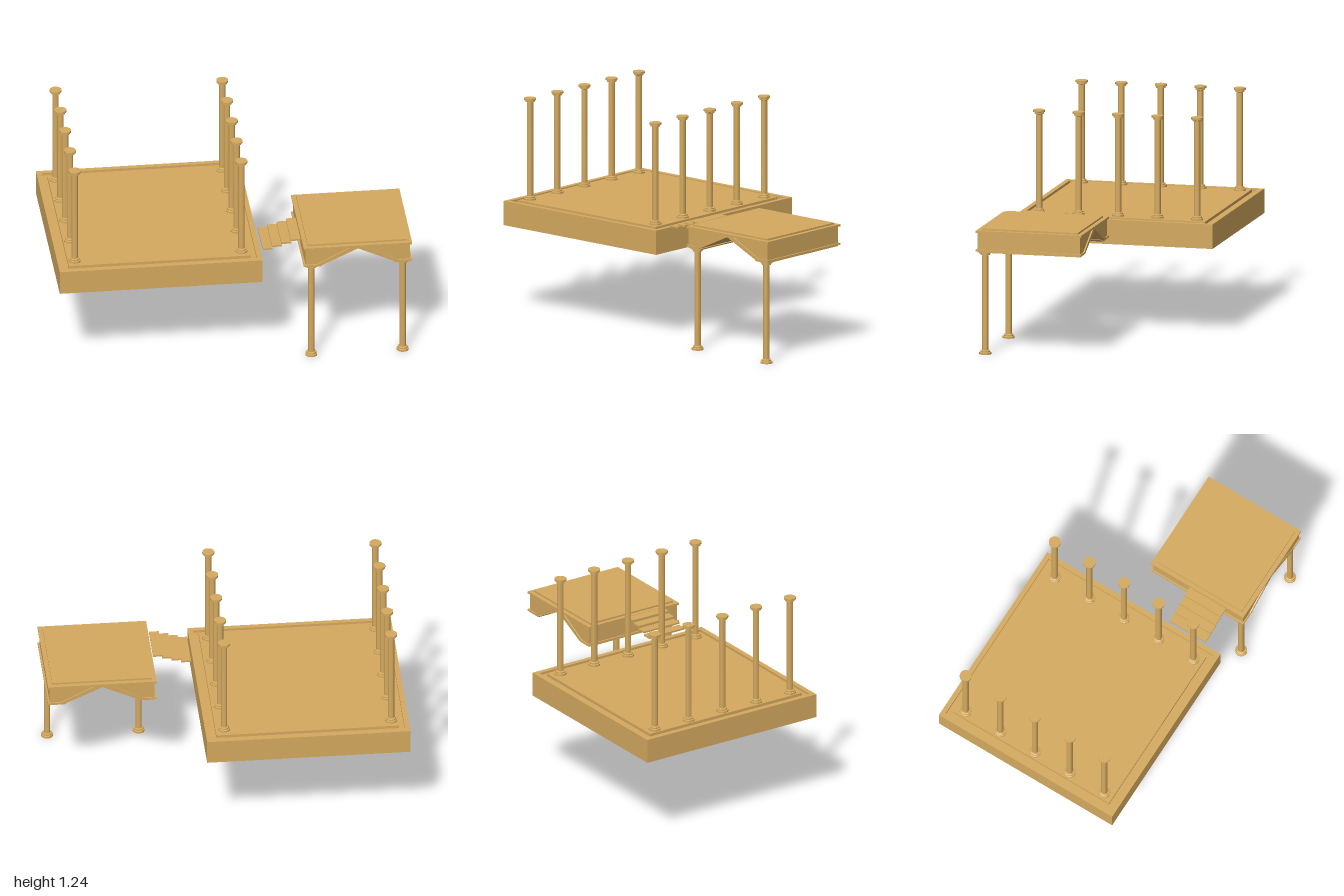
import * as THREE from 'three';
import { toCreasedNormals } from 'three/addons/utils/BufferGeometryUtils.js';

const material = new THREE.MeshStandardMaterial({ color: 0xd4a95f });

function add(parent, name, geometry) {
  const mesh = new THREE.Mesh(geometry, material);
  mesh.name = name;
  parent.add(mesh);
  return mesh;
}

// Box given by its limits on each axis
function slab(parent, name, x0, x1, y0, y1, z0, z1) {
  add(parent, name, new THREE.BoxGeometry(x1 - x0, y1 - y0, z1 - z0))
    .position.set((x0 + x1) / 2, (y0 + y1) / 2, (z0 + z1) / 2);
}

// Outline in x and y, extruded from z0 to z1
function extrudeZ(parent, name, points, z0, z1) {
  const shape = new THREE.Shape(points.map(([x, y]) => new THREE.Vector2(x, y)));
  const geometry = new THREE.ExtrudeGeometry(shape, { depth: z1 - z0, bevelEnabled: false });
  add(parent, name, geometry).position.z = z0;
}

// Round column with the same stepped moulding at foot and head
function columnGeometry(height) {
  const foot = [[0, 0], [0.034, 0], [0.034, 0.011], [0.027, 0.013], [0.027, 0.021], [0.018, 0.024]];
  const head = foot.map(([r, y]) => [r, height - y]).reverse();
  const profile = [...foot, ...head].map(([r, y]) => new THREE.Vector2(r, y));
  return toCreasedNormals(new THREE.LatheGeometry(profile, 24), 0.6);
}

export function createModel() {
  const model = new THREE.Group();
  model.name = 'colonnadeTerrace';

  // Main terrace: base, raised rim, groove and floor panel
  const terrace = new THREE.Group();
  terrace.name = 'terrace';
  model.add(terrace);
  slab(terrace, 'terraceBase', -1, 0.15, 0.51, 0.636, -0.578, 0.573);
  slab(terrace, 'rimLeft', 0.122, 0.15, 0.636, 0.65, -0.578, 0.573);
  slab(terrace, 'rimRight', -1, -0.972, 0.636, 0.65, -0.578, 0.573);
  slab(terrace, 'rimFront', -0.972, 0.122, 0.636, 0.65, 0.545, 0.573);
  slab(terrace, 'rimBack', -0.972, 0.122, 0.636, 0.65, -0.578, -0.55);
  slab(terrace, 'terraceFloor', -0.942, 0.092, 0.636, 0.653, -0.52, 0.515);

  // Two rows of five columns
  const tall = columnGeometry(0.588);
  for (const x of [-0.902, 0.043]) {
    for (let i = 0; i < 5; i++) {
      add(terrace, 'terraceColumn', tall).position.set(x, 0.652, -0.461 + i * 0.23);
    }
  }

  // Thin floating steps up to the porch
  const steps = new THREE.Group();
  steps.name = 'steps';
  model.add(steps);
  for (let i = 0; i < 4; i++) {
    const x = 0.163 + i * 0.053, y = 0.655 + i * 0.016;
    slab(steps, 'step', x, x + 0.056, y, y + 0.01, 0.226, 0.466);
  }

  // Porch: gabled body, top mouldings and a moulding along the underside
  const porch = new THREE.Group();
  porch.name = 'porch';
  model.add(porch);
  const mid = 0.69;
  extrudeZ(porch, 'porchBody', [
    [0.393, 0.597], [0.47, 0.597], [mid, 0.698], [0.91, 0.597],
    [0.987, 0.597], [0.987, 0.702], [0.393, 0.702],
  ], -0.028, 0.57);
  slab(porch, 'porchCornice', 0.383, 0.997, 0.7, 0.712, -0.036, 0.578);
  slab(porch, 'porchFloor', 0.408, 0.972, 0.712, 0.722, -0.01, 0.552);
  for (const side of [-1, 1]) {
    const strip = (name, points, z0, z1) =>
      extrudeZ(porch, name, points.map(([x, y]) => [mid + side * x, y]), z0, z1);
    strip('undersideMoulding', [
      [0.307, 0.594], [0.215, 0.594], [0, 0.694], [0, 0.7], [0.045, 0.7], [0.232, 0.604], [0.307, 0.604],
    ], -0.036, 0.578);
    strip('undersideTrim', [
      [0.297, 0.586], [0.21, 0.586], [0.2, 0.595], [0.222, 0.596], [0.297, 0.596],
    ], -0.028, 0.57);
  }

  // Two front columns carrying the porch
  const support = columnGeometry(0.59);
  for (const x of [0.43, 0.948]) {
    add(porch, 'porchColumn', support).position.set(x, 0, 0.535);
  }
  return model;
}
